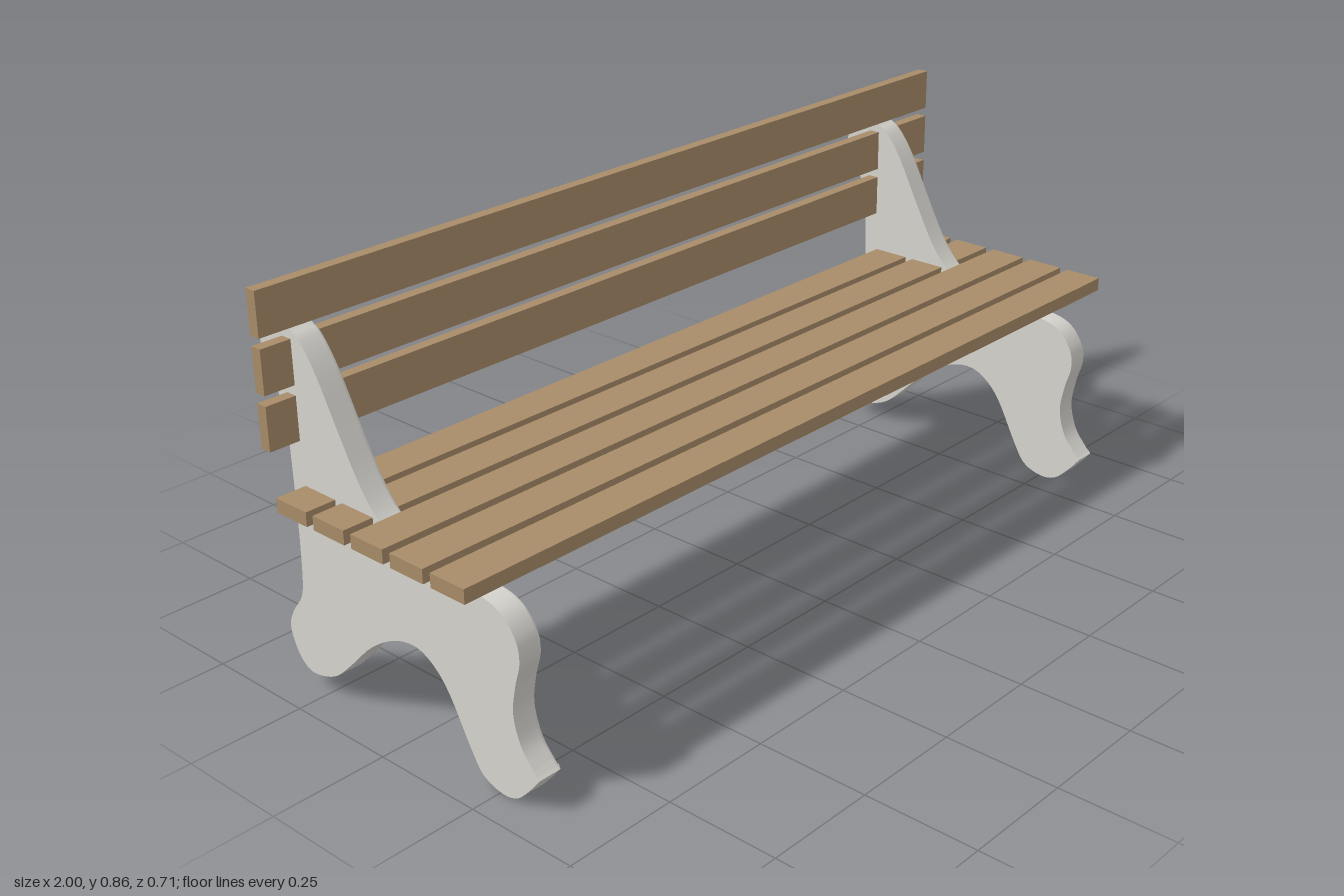
import * as THREE from 'three';
import { toCreasedNormals } from 'three/addons/utils/BufferGeometryUtils.js';

const wood = new THREE.MeshStandardMaterial({ color: 0xa98c69 });
wood.name = 'wood';
const stone = new THREE.MeshStandardMaterial({ color: 0xd8d6d0 });
stone.name = 'pale stone';

// Side profile, drawn as (-z, y): front and top edge from toe to upper tip
const FRONT_EDGE = [
  [-0.341, 0.09], [-0.311, 0.129], [-0.295, 0.187], [-0.304, 0.248], [-0.318, 0.301],
  [-0.309, 0.347], [-0.27, 0.388], [-0.197, 0.403], [-0.08, 0.406], [-0.005, 0.425],
  [0.05, 0.459], [0.096, 0.516], [0.142, 0.598], [0.197, 0.701], [0.238, 0.756],
  [0.272, 0.779], [0.295, 0.81],
];
// Back and underside, from upper tip round to the toe
const BACK_EDGE = [
  [0.33, 0.777], [0.355, 0.729], [0.352, 0.69], [0.318, 0.637], [0.3, 0.58],
  [0.295, 0.489], [0.293, 0.374], [0.295, 0.26], [0.304, 0.203], [0.336, 0.157],
  [0.35, 0.118], [0.334, 0.07], [0.307, 0.042], [0.272, 0.038], [0.215, 0.058],
  [0.158, 0.109], [0.1, 0.166], [0.032, 0.209], [-0.032, 0.223], [-0.082, 0.203],
  [-0.124, 0.157], [-0.174, 0.065], [-0.206, 0.019], [-0.254, 0.002], [-0.295, 0.01],
  [-0.332, 0.045], [-0.357, 0.075],
];

function supportShape() {
  const toVectors = (points) => points.map(([s, y]) => new THREE.Vector2(s, y));
  const shape = new THREE.Shape();
  shape.moveTo(-0.357, 0.075);
  shape.splineThru(toVectors(FRONT_EDGE));
  shape.splineThru(toVectors(BACK_EDGE));
  return shape;
}

// Extrude the profile along +x
function extrudeProfile(options) {
  const geometry = new THREE.ExtrudeGeometry(supportShape(), { curveSegments: 5, ...options });
  geometry.rotateY(Math.PI / 2);
  return toCreasedNormals(geometry, 0.6);
}

function addSlat(group, name, height, depth, y, z) {
  const slat = new THREE.Mesh(new THREE.BoxGeometry(2, height, depth), wood);
  slat.name = name;
  slat.position.set(0, y, z);
  group.add(slat);
}

export function createModel() {
  const bench = new THREE.Group();
  bench.name = 'bench';

  // Cast supports: flat on one face, with a softly rounded rim on the +x face
  const rim = 0.01;
  const bodyGeometry = extrudeProfile({ depth: 0.047, bevelEnabled: false });
  const faceGeometry = extrudeProfile({
    depth: 0.001, bevelEnabled: true, bevelThickness: rim,
    bevelSize: 0.012, bevelOffset: -0.012, bevelSegments: 4,
  });
  for (const [name, x] of [['rightSupport', -0.932], ['leftSupport', 0.813]]) {
    const support = new THREE.Group();
    support.name = name;
    const body = new THREE.Mesh(bodyGeometry, stone);
    body.name = 'supportBody';
    const face = new THREE.Mesh(faceGeometry, stone);
    face.name = 'roundedFace';
    face.position.x = 0.0465;
    support.add(body, face);
    support.position.x = x;
    bench.add(support);
  }

  // Five seat slats and three backrest slats
  for (let i = 0; i < 5; i++) addSlat(bench, 'seatSlat', 0.03, 0.088, 0.441, 0.218 - i * 0.108);
  for (let i = 0; i < 3; i++) addSlat(bench, 'backSlat', 0.092, 0.025, 0.82 - i * 0.113, -0.275);

  return bench;
}
